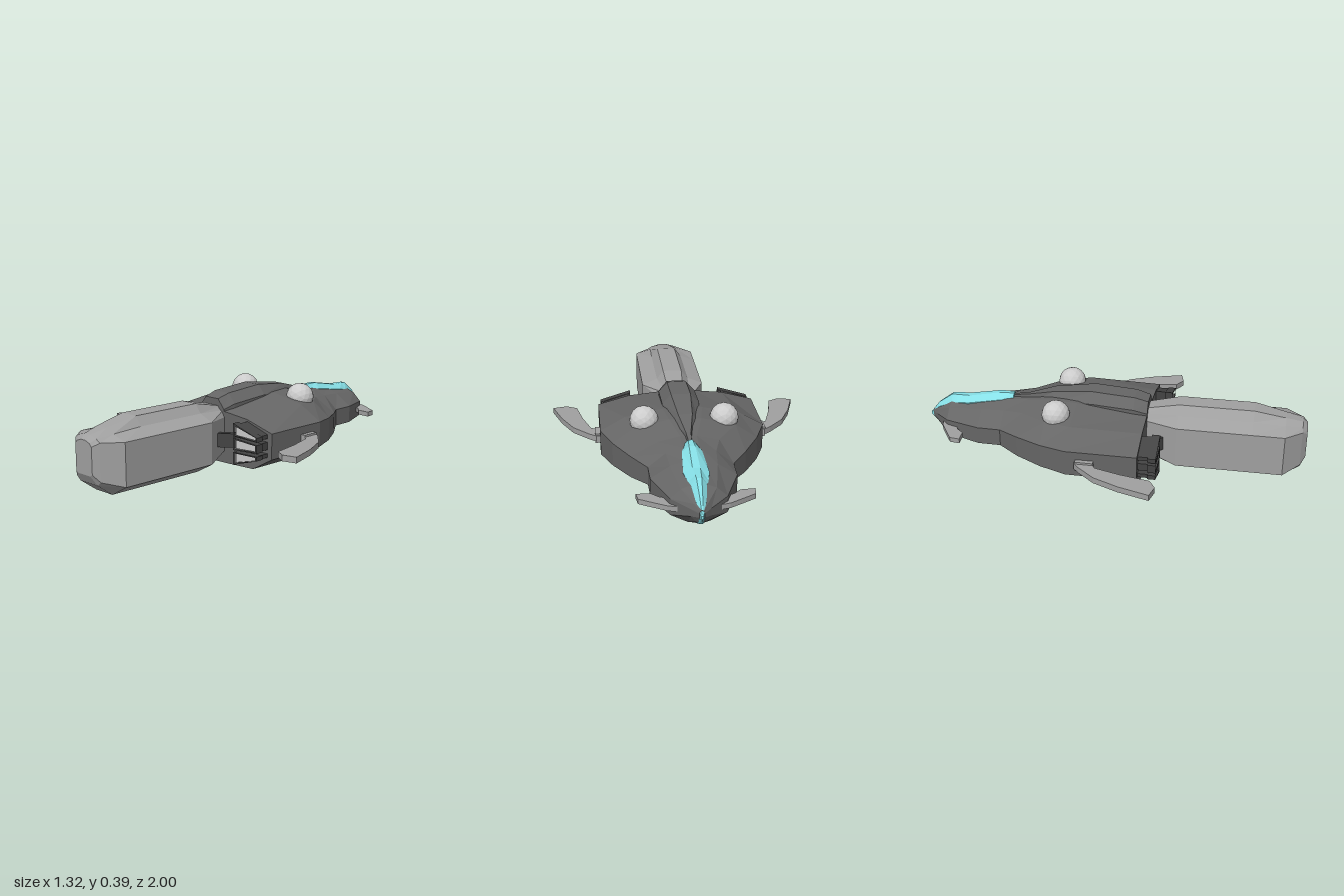
import * as THREE from 'three';

const mat = (color) => new THREE.MeshStandardMaterial({ color, flatShading: true });

// Skin mirrored cross-sections: each is [z, [x, y] points from bottom to top of the +x half]
function loft(sections) {
  const rings = sections.map(([z, pts]) => [
    ...pts.map(([x, y]) => [x, y, z]),
    ...pts.slice().reverse().map(([x, y]) => [-x, y, z]),
  ]);
  const pos = [];
  const tri = (a, b, c) => pos.push(...a, ...b, ...c);
  const n = rings[0].length;
  for (let s = 0; s < rings.length - 1; s++) {
    const a = rings[s], b = rings[s + 1];
    for (let i = 0; i < n; i++) {
      const j = (i + 1) % n;
      tri(a[i], a[j], b[i]);
      tri(a[j], b[j], b[i]);
    }
  }
  // End caps, zipped between the two halves
  const first = rings[0], last = rings[rings.length - 1];
  for (let i = 0; i < n / 2 - 1; i++) {
    const l = n - 1 - i;
    tri(last[i], last[i + 1], last[l]);
    tri(last[i + 1], last[l - 1], last[l]);
    tri(first[i], first[l], first[i + 1]);
    tri(first[i + 1], first[l], first[l - 1]);
  }
  const geo = new THREE.BufferGeometry();
  geo.setAttribute('position', new THREE.Float32BufferAttribute(pos, 3));
  geo.computeVertexNormals();
  return geo;
}

const outline = (pts, side) => pts.map(([x, y]) => new THREE.Vector2(x * side, y));

// Flat plate drawn in x, z between two heights
function plate(pts, side, y0, y1) {
  const geo = new THREE.ExtrudeGeometry(new THREE.Shape(outline(pts, side)), {
    depth: y1 - y0, bevelEnabled: false,
  });
  return geo.rotateX(Math.PI / 2).translate(0, y1, 0);
}

export function createModel() {
  const model = new THREE.Group();
  const hullMat = mat(0x666666), podMat = mat(0xa0a0a0), darkMat = mat(0x444444);
  const lightMat = mat(0xcccccc), tealMat = mat(0x86dfe6);
  const add = (name, geo, material, parent = model) => {
    const mesh = new THREE.Mesh(geo, material);
    mesh.name = name;
    parent.add(mesh);
    return mesh;
  };

  // Hull: z, bottom x y, side x with low and high y, shoulder x y, ridge x y
  const hull = [
    [-0.985, 0.005, 0.14, 0.012, 0.15, 0.17, 0.008, 0.18, 0.003, 0.185],
    [-0.95, 0.02, 0.11, 0.045, 0.14, 0.175, 0.03, 0.2, 0.012, 0.21],
    [-0.87, 0.05, 0.07, 0.13, 0.11, 0.19, 0.08, 0.235, 0.03, 0.255],
    [-0.68, 0.08, 0.07, 0.203, 0.11, 0.2, 0.11, 0.26, 0.04, 0.28],
    [-0.56, 0.09, 0.07, 0.205, 0.11, 0.2, 0.12, 0.27, 0.04, 0.297],
    [-0.45, 0.12, 0.07, 0.28, 0.1, 0.21, 0.15, 0.28, 0.04, 0.305],
    [-0.31, 0.2, 0.03, 0.36, 0.1, 0.22, 0.25, 0.295, 0.08, 0.335],
    [-0.17, 0.29, 0.03, 0.415, 0.1, 0.23, 0.29, 0.3, 0.1, 0.337],
    [0.19, 0.29, 0.03, 0.415, 0.1, 0.23, 0.25, 0.275, 0.1, 0.29],
  ].map(([z, bx, by, w, yl, yu, tx, ty, rx, ry]) => [
    z, [[bx * 0.3, by - 0.006], [bx, by], [w, yl], [w, yu], [tx, ty], [rx, ry]],
  ]);
  add('hull', loft(hull), hullMat);

  // Raised spine: z, half width, top height
  const spine = [
    [-0.53, 0.008, 0.31], [-0.45, 0.012, 0.322], [-0.31, 0.035, 0.36],
    [-0.1, 0.05, 0.385], [0.12, 0.05, 0.37], [0.19, 0.045, 0.35],
  ].map(([z, w, y]) => [z, [[w * 1.9, 0.26], [w * 1.9, y - 0.05], [w, y]]]);
  add('spine', loft(spine), hullMat);

  // Nose stripe over the top and around the tip: z, half width, bottom, top
  const stripe = [
    [-1, 0.005, 0.15, 0.165], [-0.95, 0.022, 0.1, 0.228], [-0.87, 0.04, 0.064, 0.285],
    [-0.84, 0.046, 0.1, 0.286], [-0.77, 0.06, 0.15, 0.288], [-0.6, 0.048, 0.15, 0.32],
    [-0.53, 0.035, 0.15, 0.32],
  ].map(([z, w, y0, y1]) => [z, [
    [w * 0.4, y0], [w, y0 + (y1 - y0) * 0.15], [w, y1 - (y1 - y0) * 0.17], [w * 0.3, y1],
  ]]);
  add('noseStripe', loft(stripe), tealMat);

  // Rear pod: z, keel x y, side x with low and high y, shoulder x y, ridge x y
  const pod = [
    [0.17, 0.04, 0.06, 0.08, 0.09, 0.26, 0.06, 0.29, 0.04, 0.31],
    [0.35, 0.06, 0.003, 0.165, 0.06, 0.272, 0.085, 0.305, 0.05, 0.35],
    [0.73, 0.06, 0.003, 0.165, 0.06, 0.272, 0.085, 0.305, 0.05, 0.35],
    [0.89, 0.06, 0.003, 0.165, 0.06, 0.272, 0.08, 0.295, 0.035, 0.318],
    [0.975, 0.065, 0.065, 0.09, 0.085, 0.27, 0.065, 0.285, 0.02, 0.298],
    [1, 0.045, 0.11, 0.06, 0.12, 0.25, 0.045, 0.265, 0.015, 0.275],
  ].map(([z, bx, by, w, yl, yu, tx, ty, rx, ry]) => [
    z, [[bx, by], [w, yl], [w, yu], [tx, ty], [rx, ry]],
  ]);
  add('rearPod', loft(pod), podMat);

  const wingPts = [
    [0.4, -0.12], [0.435, -0.12], [0.47, -0.09], [0.55, 0], [0.61, 0.13], [0.658, 0.285],
    [0.585, 0.303], [0.53, 0.27], [0.5, 0.12], [0.46, -0.01], [0.4, -0.05],
  ];
  const finPts = [
    [0.1, -0.9], [0.14, -0.89], [0.205, -0.85], [0.268, -0.81], [0.275, -0.757],
    [0.205, -0.762], [0.17, -0.8], [0.1, -0.82],
  ];
  const strutPts = [[0.25, 0.18], [0.21, 0.18], [0.1, 0.26], [0.1, 0.31]];
  // Exhaust slots in x, y, fanned out from the inner edge
  const slots = [
    [[0.24, 0.205], [0.24, 0.27], [0.4, 0.222], [0.4, 0.2]],
    [[0.24, 0.135], [0.24, 0.197], [0.4, 0.187], [0.4, 0.145]],
    [[0.24, 0.06], [0.24, 0.125], [0.4, 0.13], [0.4, 0.108]],
  ];

  for (const side of [1, -1]) {
    const label = side > 0 ? 'left' : 'right';
    add(label + 'Wing', plate(wingPts, side, 0.15, 0.18), podMat);
    add(label + 'WingRoot', new THREE.BoxGeometry(0.05, 0.05, 0.09)
      .translate(side * 0.415, 0.165, -0.07), podMat);
    add(label + 'NoseFin', plate(finPts, side, 0.14, 0.165), podMat);
    add(label + 'PodStrut', plate(strutPts, side, 0.13, 0.2), darkMat);
    add(label + 'Dome', new THREE.IcosahedronGeometry(0.072, 2)
      .translate(side * 0.2, 0.318, -0.26), lightMat);

    // Exhaust: each slot is a dark frame round a light panel, on a narrower neck
    const exhaust = new THREE.Group();
    exhaust.name = label + 'Exhaust';
    model.add(exhaust);
    for (const pts of slots) {
      const cx = pts.reduce((s, p) => s + p[0], 0) / 4;
      const cy = pts.reduce((s, p) => s + p[1], 0) / 4;
      const shrink = (kx, ky) => pts.map(([x, y]) => [cx + (x - cx) * kx, cy + (y - cy) * ky]);
      const extrude = (shape, z0, z1) => new THREE.ExtrudeGeometry(shape, {
        depth: z1 - z0, bevelEnabled: false,
      }).translate(0, 0, z0);
      const inner = outline(shrink(0.88, 0.74), side);
      const frame = new THREE.Shape(outline(pts, side));
      frame.holes.push(new THREE.Path(inner));
      add('exhaustFrame', extrude(frame, 0.24, 0.28), darkMat, exhaust);
      add('exhaustPanel', extrude(new THREE.Shape(inner), 0.24, 0.27), lightMat, exhaust);
      add('exhaustNeck', extrude(new THREE.Shape(outline(shrink(0.85, 0.9), side)), 0.18, 0.245),
        darkMat, exhaust);
    }
  }
  return model;
}
